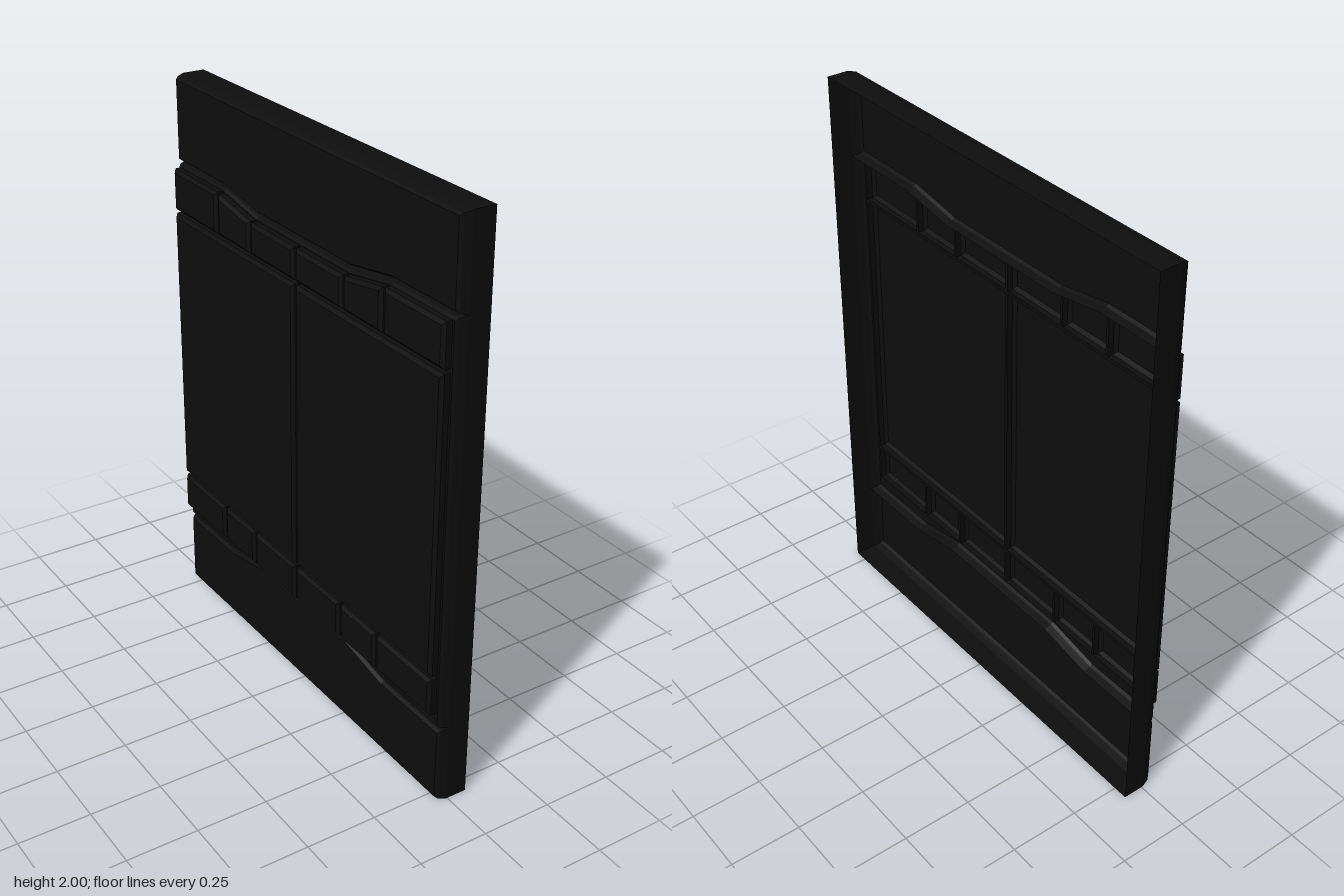
import * as THREE from 'three';

const material = new THREE.MeshStandardMaterial({
  color: 0x0e0e0e, flatShading: true, side: THREE.DoubleSide,
});

// Depths along x, from the open rear to the raised pads
const REAR = 0.0725, RIM = -0.005, FACE = -0.042, PAD_EDGE = -0.062, PAD = -0.0725;

// Moves every edge of a counter-clockwise [z, y] outline inwards by d
function inset(outline, d) {
  const n = outline.length;
  return outline.map((p, i) => {
    const a = outline[(i + n - 1) % n], b = outline[(i + 1) % n];
    const l1 = Math.hypot(p[0] - a[0], p[1] - a[1]), l2 = Math.hypot(b[0] - p[0], b[1] - p[1]);
    const n1 = [-(p[1] - a[1]) / l1, (p[0] - a[0]) / l1];
    const n2 = [-(b[1] - p[1]) / l2, (b[0] - p[0]) / l2];
    const k = d / (1 + n1[0] * n2[0] + n1[1] * n2[1]);
    return [p[0] + (n1[0] + n2[0]) * k, p[1] + (n1[1] + n2[1]) * k];
  });
}

// Walls through a list of { outline, x } rings, closed by a cap with optional holes
function shell(name, rings, holes = [], capped = true) {
  const pos = [];
  for (let r = 0; r + 1 < rings.length; r++) {
    const A = rings[r], B = rings[r + 1], n = A.outline.length;
    for (let i = 0; i < n; i++) {
      const j = (i + 1) % n;
      const v = (ring, k) => [ring.x, ring.outline[k][1], ring.outline[k][0]];
      pos.push(...v(A, i), ...v(A, j), ...v(B, j), ...v(A, i), ...v(B, j), ...v(B, i));
    }
  }
  if (capped) {
    const top = rings[rings.length - 1];
    const points = (o) => o.map(([z, y]) => new THREE.Vector2(z, y));
    const shape = new THREE.Shape(points(top.outline));
    holes.forEach((h) => shape.holes.push(new THREE.Path(points(h))));
    const cap = new THREE.ShapeGeometry(shape).toNonIndexed().getAttribute('position');
    for (let i = 0; i < cap.count; i++) pos.push(top.x, cap.getY(i), cap.getX(i));
  }
  const geometry = new THREE.BufferGeometry();
  geometry.setAttribute('position', new THREE.Float32BufferAttribute(pos, 3));
  geometry.computeVertexNormals();
  const mesh = new THREE.Mesh(geometry, material);
  mesh.name = name;
  return mesh;
}

// Two-step bevel from the rim up to the face
const plate = (name, outline, holes) => shell(name, [
  { outline, x: RIM },
  { outline: inset(outline, 0.007), x: -0.032 },
  { outline: inset(outline, 0.015), x: FACE },
], holes);

const pad = (name, outline) => shell(name, [
  { outline, x: FACE },
  { outline, x: PAD_EDGE },
  { outline: inset(outline, 0.012), x: PAD },
]);

const mirrorZ = (outline) => outline.map(([z, y]) => [-z, y]).reverse();

export function createModel() {
  const group = new THREE.Group();
  group.name = 'wallPanel';

  // Open-backed side walls
  const rect = [[-0.8, 0], [0.8, 0], [0.8, 2], [-0.8, 2]];
  group.add(shell('sideWalls', [{ outline: rect, x: REAR }, { outline: rect, x: RIM }], [], false));

  // Stepped seams between the middle field and the end plates
  const seam = (outer, inner) => [
    [-0.8, outer], [-0.48, outer], [-0.27, inner], [0.27, inner], [0.48, outer], [0.8, outer],
  ];
  const upper = seam(1.695, 1.66), lower = seam(0.283, 0.323);

  // Pads: a tall centre pair and a row of three per half above and below
  const pads = [];
  const addPad = (name, outline) => {
    pads.push([name + 'Left', outline], [name + 'Right', mirrorZ(outline)]);
  };
  addPad('largePad', [[0.006, 0.487], [0.776, 0.487], [0.776, 1.519], [0.006, 1.519]]);
  const columns = [
    [0.006, 0.265, 1.643, 1.643],
    [0.275, 0.475, 1.643, 1.677],
    [0.485, 0.776, 1.68, 1.68],
  ];
  columns.forEach(([z0, z1, y0, y1], i) => {
    addPad(`upperPad${i + 1}`, [[z0, 1.531], [z1, 1.531], [z1, y1], [z0, y0]]);
    addPad(`lowerPad${i + 1}`, [[z0, 0.34], [z1, 0.34], [z1, 0.475], [z0, 0.475]]);
  });

  // End plates and the middle field
  group.add(plate('upperPlate', [...upper, [0.8, 2], [-0.8, 2]]));
  group.add(plate('lowerPlate', [[-0.8, 0], [0.8, 0], ...[...lower].reverse()]));
  group.add(plate('middleField', [...lower, ...[...upper].reverse()], pads.map((p) => p[1])));
  pads.forEach(([name, outline]) => group.add(pad(name, outline)));

  return group;
}
